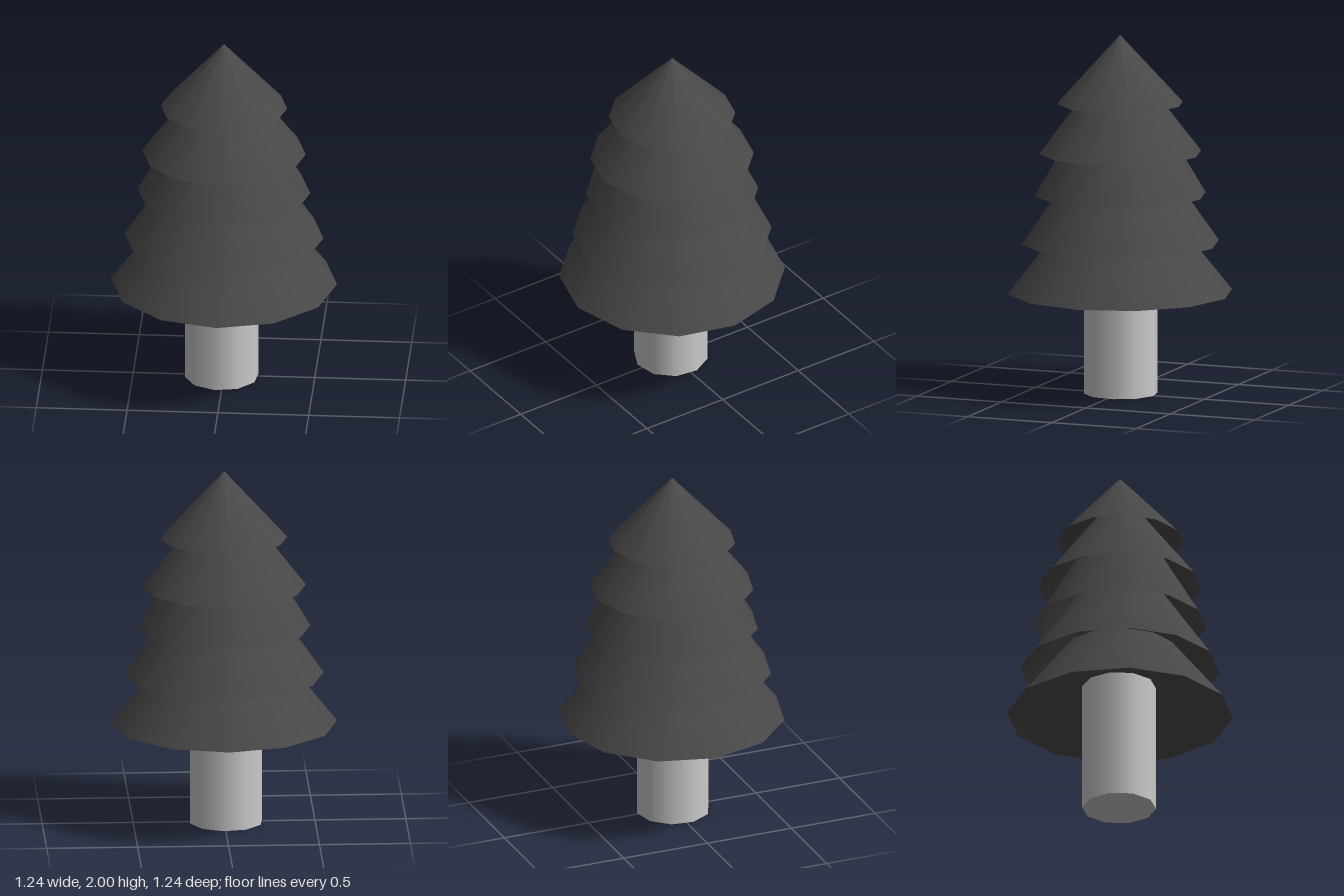
import * as THREE from 'three';

export function createModel() {
  const tree = new THREE.Group();
  tree.name = 'pineTree';

  const bark = new THREE.MeshStandardMaterial({ color: 0xcccccc });
  const needles = new THREE.MeshStandardMaterial({ color: 0x484848, side: THREE.DoubleSide });

  // Ten-sided trunk, its top hidden inside the lowest skirt
  const trunkHeight = 0.73;
  const trunk = new THREE.Mesh(
    new THREE.CylinderGeometry(0.204, 0.204, trunkHeight, 10, 1, false, THREE.MathUtils.degToRad(-7)),
    bark
  );
  trunk.name = 'trunk';
  trunk.position.set(-0.012, trunkHeight / 2, 0);
  tree.add(trunk);

  // Open, overlapping twelve-sided skirts: [hem y, hem radius, top y, top radius]
  const tiers = [
    [0.567, 0.622, 0.95, 0.315],
    [0.843, 0.548, 1.25, 0.265],
    [1.112, 0.475, 1.5, 0.245],
    [1.345, 0.45, 1.74, 0.145],
    [1.62, 0.348, 2, 0],
  ];
  tiers.forEach(([hemY, hemRadius, topY, topRadius], i) => {
    const height = topY - hemY;
    const tier = new THREE.Mesh(
      new THREE.CylinderGeometry(topRadius, hemRadius, height, 12, 1, true),
      needles
    );
    tier.name = `foliageTier${i + 1}`;
    tier.position.y = hemY + height / 2;
    tree.add(tier);
  });

  return tree;
}
